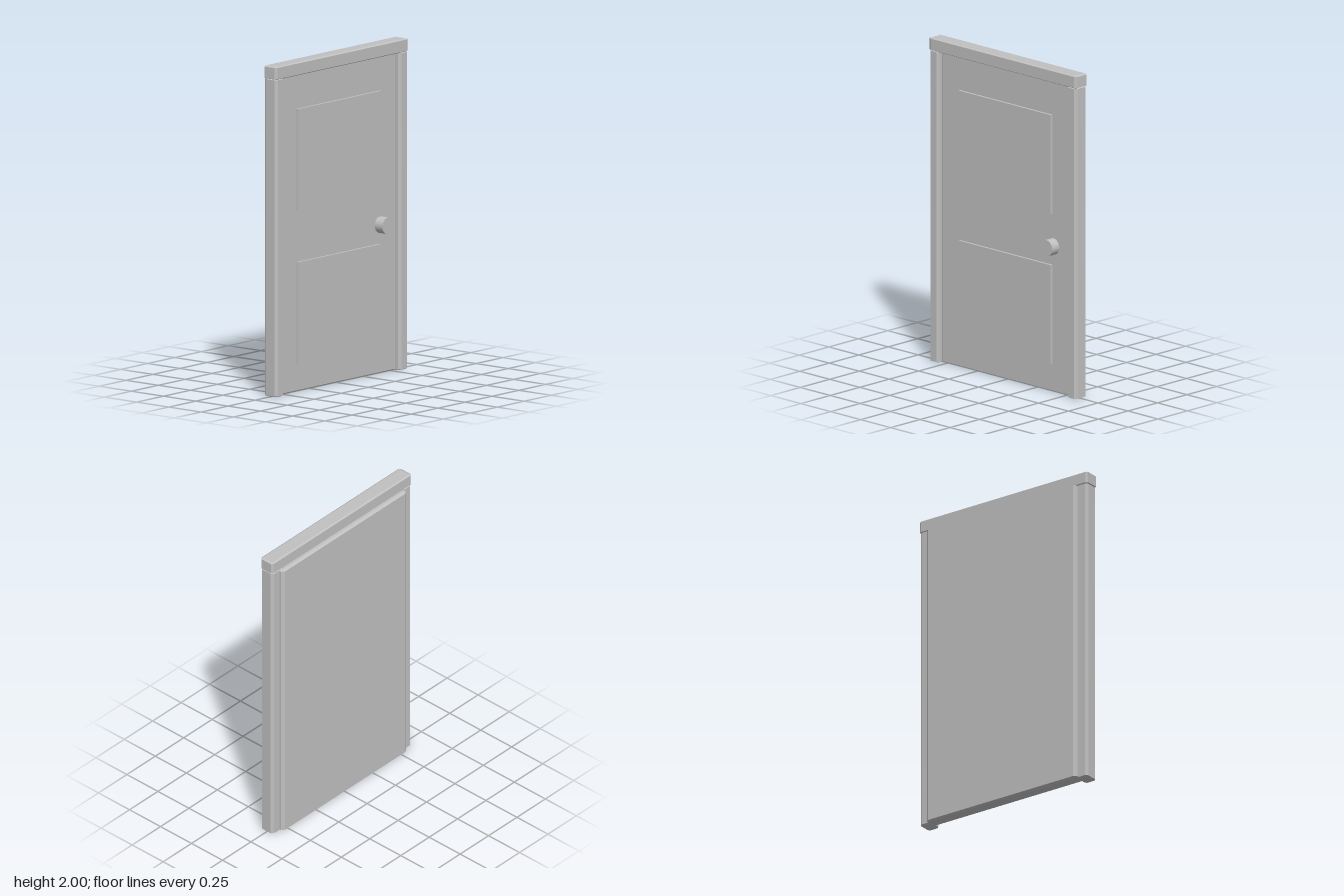
import * as THREE from 'three';
import { ConvexGeometry } from 'three/addons/geometries/ConvexGeometry.js';

const grey = new THREE.MeshStandardMaterial({ color: 0xc0c0c0 });
grey.name = 'plain grey';

// Box between two corners with all edges chamfered by (cx, cy, cz)
function chamferBox([x0, y0, z0], [x1, y1, z1], [cx, cy, cz]) {
  const points = [];
  const h = [(x1 - x0) / 2, (y1 - y0) / 2, (z1 - z0) / 2];
  const c = [cx, cy, cz];
  for (const sx of [-1, 1]) for (const sy of [-1, 1]) for (const sz of [-1, 1]) {
    const s = [sx, sy, sz];
    for (let face = 0; face < 3; face++) {
      // One point per corner lies on each of the three outer faces
      points.push(new THREE.Vector3(...s.map((v, i) => v * (i === face ? h[i] : h[i] - c[i]))));
    }
  }
  return new ConvexGeometry(points).translate((x0 + x1) / 2, (y0 + y1) / 2, (z0 + z1) / 2);
}

export function createModel() {
  const group = new THREE.Group();
  group.name = 'door';
  const add = (name, geometry) => {
    const mesh = new THREE.Mesh(geometry, grey);
    mesh.name = name;
    group.add(mesh);
    return mesh;
  };

  // Frame: two posts under a lintel
  add('leftPost', chamferBox([0.535, 0, -0.048], [0.613, 1.925, 0.05], [0.015, 0.006, 0.014]));
  add('rightPost', chamferBox([-0.613, 0, -0.048], [-0.535, 1.925, 0.05], [0.015, 0.006, 0.014]));
  add('lintel', chamferBox([-0.615, 1.92, -0.048], [0.615, 2, 0.05], [0.015, 0.006, 0.01]));

  // Door leaf, standing proud of the frame at the back
  add('doorLeaf', chamferBox([-0.55, 0, -0.075], [0.55, 1.922, 0.015], [0.02, 0.008, 0.016]));

  // Raised panels
  for (const [name, y0, y1] of [['lowerPanel', 0.17, 0.785], ['upperPanel', 1.1, 1.712]]) {
    add(name, new THREE.BoxGeometry(0.77, y1 - y0, 0.02)).position.set(0, (y0 + y1) / 2, 0.02);
  }

  // Round knob on the front
  const knob = add('knob', new THREE.CylinderGeometry(0.05, 0.05, 0.065, 24).rotateX(Math.PI / 2));
  knob.position.set(0.392, 0.9, 0.0425);

  return group;
}
